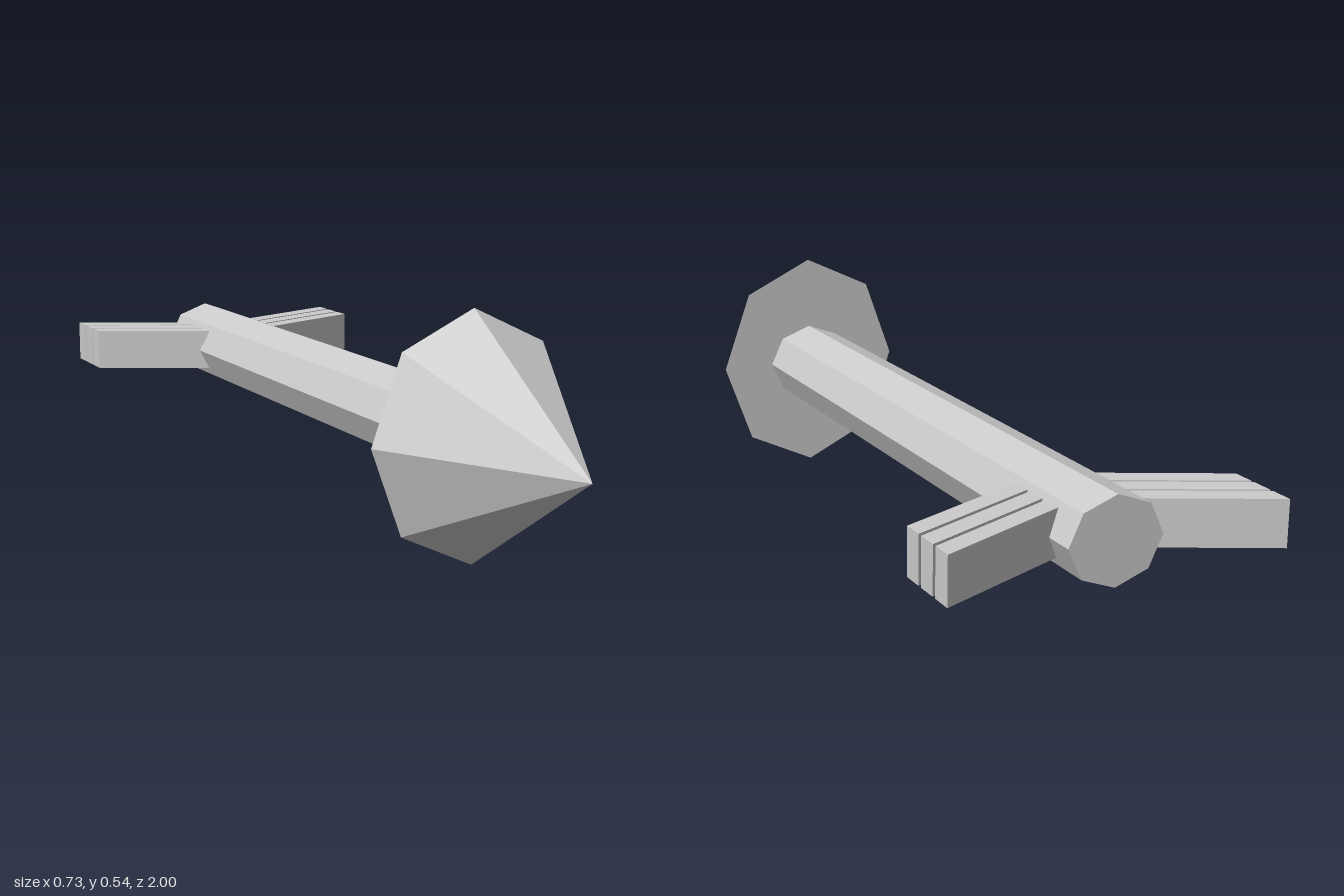
import * as THREE from 'three';

const AXIS_X = -0.02, AXIS_Y = 0.27;

export function createModel() {
  const group = new THREE.Group();
  const material = new THREE.MeshStandardMaterial({ color: 0xcccccc, flatShading: true });
  const add = (name, geometry) => {
    const mesh = new THREE.Mesh(geometry, material);
    mesh.name = name;
    group.add(mesh);
    return mesh;
  };

  // Eight-sided part lying along z, with an elliptical section
  const addOctagonal = (name, frontRadius, rx, ry, zBack, zFront) => {
    const geometry = new THREE.CylinderGeometry(frontRadius, 1, zFront - zBack, 8);
    geometry.rotateX(Math.PI / 2);
    geometry.scale(rx, ry, 1);
    geometry.translate(AXIS_X, AXIS_Y, (zBack + zFront) / 2);
    return add(name, geometry);
  };
  addOctagonal('arrowhead', 0, 0.232, 0.268, 0.565, 1);
  addOctagonal('shaft', 1, 0.104, 0.093, -0.935, 0.565);

  // Slanted vane: a parallelogram in plan, running from inside the shaft outward
  const addVane = (name, xIn, xOut, zOut, slope, thickness) => {
    const zIn = zOut + Math.abs(xOut - xIn) * slope;
    const shape = new THREE.Shape([
      new THREE.Vector2(xIn, zIn),
      new THREE.Vector2(xOut, zOut),
      new THREE.Vector2(xOut, zOut + thickness),
      new THREE.Vector2(xIn, zIn + thickness),
    ]);
    const geometry = new THREE.ExtrudeGeometry(shape, { depth: 0.1, bevelEnabled: false });
    geometry.rotateX(Math.PI / 2);
    geometry.translate(0, 0.323, 0);
    add(name, geometry);
  };

  // Three vanes on each side of the tail
  for (let i = 0; i < 3; i++) {
    addVane('rightVane' + (i + 1), -0.07, -0.365, -1 + i * 0.061, 0.49, 0.051);
    addVane('leftVane' + (i + 1), 0.03, 0.36, -0.988 + i * 0.058, 0.445, 0.048);
  }
  return group;
}
